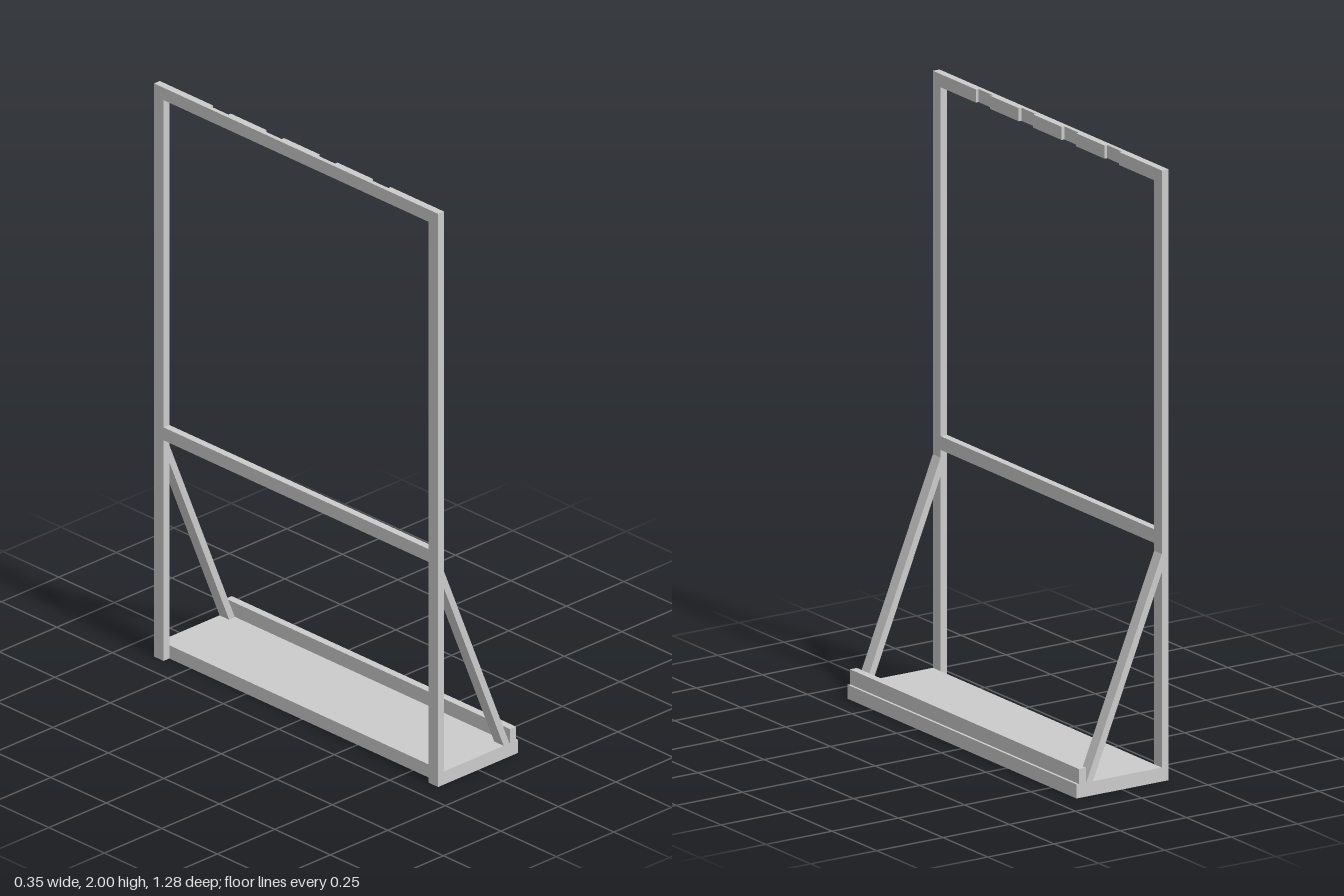
import * as THREE from 'three';

const BACK = -0.175, FACE = -0.15;   // depth of the upright frame
const OUT = 0.64, IN = 0.597;        // outer and inner edges of the posts

export function createModel() {
  const group = new THREE.Group();
  const material = new THREE.MeshStandardMaterial({ color: 0xcccccc, flatShading: true });

  const add = (name, geometry) => {
    const mesh = new THREE.Mesh(geometry, material);
    mesh.name = name;
    group.add(mesh);
    return mesh;
  };

  // Box given by its limits on each axis
  const box = (name, x0, x1, y0, y1, z0, z1) => {
    const g = new THREE.BoxGeometry(x1 - x0, y1 - y0, z1 - z0);
    g.translate((x0 + x1) / 2, (y0 + y1) / 2, (z0 + z1) / 2);
    return add(name, g);
  };

  // Base shelf with a raised lip along its outer edge
  box('baseShelf', FACE, 0.172, 0, 0.046, -OUT, OUT);
  box('shelfLip', 0.137, 0.163, 0.046, 0.095, -OUT, OUT);

  // Upright frame
  box('middleRail', BACK, FACE, 0.77, 0.815, -IN, IN);

  // Brace outline, seen from the end of the shelf
  const brace = new THREE.Shape([
    [FACE, 0.745], [FACE, 0.685], [0.11, 0.046], [0.135, 0.046],
  ].map(([x, y]) => new THREE.Vector2(x, y)));

  for (const [side, z0, z1] of [['front', IN, OUT], ['back', -OUT, -IN]]) {
    box(side + 'Post', BACK, FACE, 0, 2, z0, z1);
    const g = new THREE.ExtrudeGeometry(brace, { depth: OUT - IN, bevelEnabled: false });
    g.translate(0, 0, z0);
    add(side + 'Brace', g);
  }

  // Top rail with four shallow notches in its inner face
  const rail = new THREE.Shape();
  rail.moveTo(BACK, -IN);
  rail.lineTo(FACE, -IN);
  for (const c of [-0.36, -0.12, 0.12, 0.36]) {
    rail.lineTo(FACE, c - 0.04);
    rail.lineTo(FACE - 0.01, c - 0.04);
    rail.lineTo(FACE - 0.01, c + 0.04);
    rail.lineTo(FACE, c + 0.04);
  }
  rail.lineTo(FACE, IN);
  rail.lineTo(BACK, IN);
  const railGeometry = new THREE.ExtrudeGeometry(rail, { depth: 0.043, bevelEnabled: false });
  railGeometry.rotateX(-Math.PI / 2);
  railGeometry.translate(0, 1.957, 0);
  add('topRail', railGeometry);

  return group;
}
